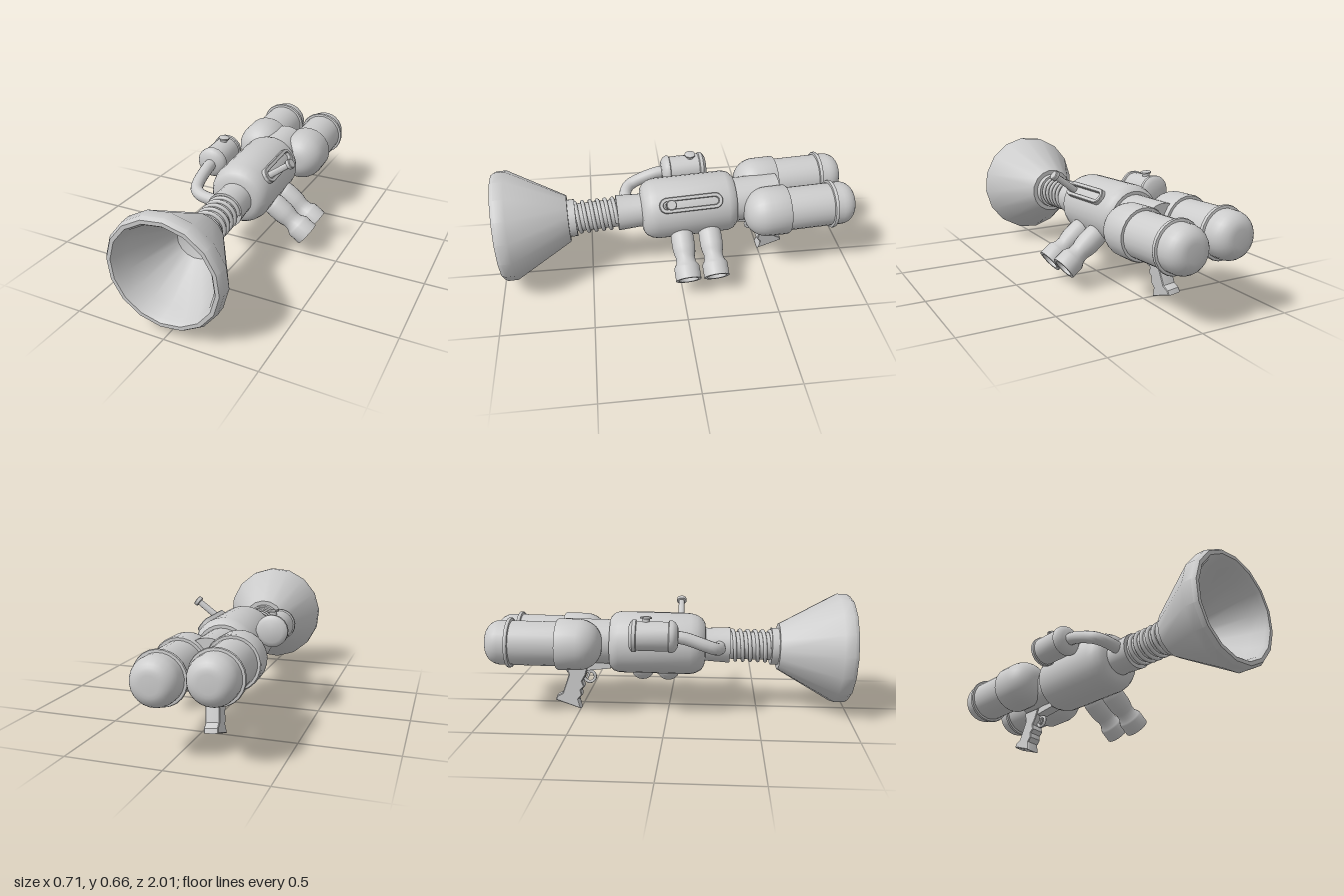
import * as THREE from 'three';
import { toCreasedNormals } from 'three/addons/utils/BufferGeometryUtils.js';

const material = new THREE.MeshStandardMaterial({ color: 0xcccccc });
const V = (x, y, z) => new THREE.Vector3(x, y, z);

function add(parent, name, geometry) {
  const mesh = new THREE.Mesh(geometry, material);
  mesh.name = name;
  parent.add(mesh);
  return mesh;
}

// Turned part: [radius, position] pairs in rising order, about the y axis
function turned(profile, sides) {
  const points = profile.map(([r, p]) => new THREE.Vector2(r, p));
  return toCreasedNormals(new THREE.LatheGeometry(points, sides), 0.65);
}

// Turned part lying along z
const turnedZ = (profile, sides = 24) => turned(profile, sides).rotateX(Math.PI / 2);

// Quarter-ellipse end cap running from the axis out to radius r
function dome(r, flat, start, end, steps = 7) {
  const out = [[0, start]];
  for (let i = 0; i <= steps; i++) {
    const a = (i / steps) * Math.PI / 2;
    out.push([flat + (r - flat) * Math.sin(a), end + (start - end) * Math.cos(a)]);
  }
  return out;
}

// Group whose y axis points radially out of the body at the given angle
function radial(parent, name, degrees, z) {
  const g = new THREE.Group();
  g.name = name;
  g.rotation.z = THREE.MathUtils.degToRad(degrees - 90);
  g.position.z = z;
  parent.add(g);
  return g;
}

// Rounded-end slot outline, long in y
function stadium(path, halfLength, r) {
  path.absarc(0, halfLength - r, r, 0, Math.PI, false);
  path.absarc(0, r - halfLength, r, Math.PI, Math.PI * 2, false);
  path.closePath();
  return path;
}

export function createModel() {
  const model = new THREE.Group();
  model.name = 'launcher';
  const gun = new THREE.Group();
  gun.name = 'launcherAssembly';
  gun.position.set(-0.035, 0.378, 0);
  gun.rotation.set(0.025, 0.045, -0.1);
  model.add(gun);

  // Flared bell with a thick rim and hollow inside
  add(gun, 'bell', turnedZ([
    [0, 0.61], [0.13, 0.61], [0.305, 0.92], [0.305, 0.975], [0.292, 0.995],
    [0.272, 0.995], [0.257, 0.975], [0.24, 0.91], [0.1, 0.67], [0.05, 0.655], [0, 0.65],
  ], 16));
  add(gun, 'bellCollar', turnedZ([[0, 0.57], [0.104, 0.57], [0.104, 0.62], [0, 0.62]]));

  // Spring around the slim core
  add(gun, 'springCore', turnedZ([[0.078, 0.32], [0.078, 0.59]]));
  const coil = [];
  for (let i = 0; i <= 110; i++) {
    const a = (i / 110) * Math.PI * 2 * 5.5;
    coil.push(V(Math.cos(a) * 0.083, Math.sin(a) * 0.083, 0.345 + (i / 110) * 0.23));
  }
  add(gun, 'spring', new THREE.TubeGeometry(new THREE.CatmullRomCurve3(coil), 200, 0.011, 8));

  // Neck, main body and rear connector
  add(gun, 'neck', turnedZ([[0.095, 0.18], [0.093, 0.22], [0.1, 0.34], [0, 0.34]]));
  add(gun, 'body', turnedZ([
    [0, -0.325], [0.142, -0.325], [0.162, -0.305], [0.172, -0.275], [0.172, 0.12],
    [0.163, 0.155], [0.145, 0.185], [0.12, 0.2], [0.09, 0.205],
  ], 28));
  add(gun, 'rearConnector', turnedZ([[0, -0.58], [0.125, -0.58], [0.125, -0.3]]));

  // Twin tanks in rounded sockets
  for (const side of [-1, 1]) {
    const tank = new THREE.Group();
    tank.name = side > 0 ? 'leftTank' : 'rightTank';
    tank.position.x = side * 0.135;
    gun.add(tank);
    const socket = dome(0.14, 0.02, -0.365, -0.49, 9).reverse();
    add(tank, 'socket', turnedZ([[0.12, -0.605], [0.136, -0.605], [0.141, -0.595], ...socket]));
    add(tank, 'tankShell', turnedZ([...dome(0.122, 0.045, -0.992, -0.91), [0.122, -0.59]]));
    add(tank, 'tankBand', turnedZ([
      [0.12, -0.873], [0.135, -0.871], [0.138, -0.862], [0.135, -0.853], [0.12, -0.851],
    ]));
  }

  // Pistol grip with finger grooves, outline in (backward, up)
  const outline = [
    [0.455, 0.26], [0.47, 0.2], [0.49, 0.165], [0.477, 0.135], [0.497, 0.115], [0.49, 0.085],
    [0.51, 0.06], [0.495, 0.01], [0.628, 0.055], [0.622, 0.072], [0.59, 0.09], [0.555, 0.2], [0.575, 0.26],
  ].map(([b, u]) => new THREE.Vector2(b, u - 0.392));
  const grip = new THREE.ExtrudeGeometry(new THREE.Shape(outline), {
    depth: 0.05, bevelThickness: 0.012, bevelSize: 0.006, bevelSegments: 2,
  });
  add(gun, 'grip', toCreasedNormals(grip.translate(0, 0, -0.025).rotateY(Math.PI / 2), 0.6));
  const plate = add(gun, 'gripMount', new THREE.BoxGeometry(0.06, 0.04, 0.25));
  plate.position.set(0, -0.145, -0.45);
  plate.rotation.x = -0.12;
  const guard = add(gun, 'triggerGuard', new THREE.TorusGeometry(0.031, 0.009, 8, 20));
  guard.position.set(0, -0.205, -0.445);
  guard.rotation.y = Math.PI / 2;
  const trigger = add(gun, 'trigger', new THREE.BoxGeometry(0.014, 0.045, 0.012));
  trigger.position.set(0, -0.195, -0.452);
  trigger.rotation.x = 0.35;

  // Two flared side pipes
  for (const z of [-0.005, -0.163]) {
    const pipe = radial(gun, 'sidePipe', -31.5, z);
    add(pipe, 'pipe', turned([
      ...dome(0.064, 0.03, 0.14, 0.19, 4), [0.064, 0.25], [0.06, 0.28], [0.053, 0.305], [0.055, 0.335],
      [0.067, 0.355], [0.071, 0.365], [0.071, 0.434], [0.054, 0.434], [0.046, 0.405], [0, 0.4],
    ], 20));
  }

  // Slotted rail and bolt handle
  const rail = radial(gun, 'boltRail', 43, -0.06);
  const slot = stadium(new THREE.Shape(), 0.172, 0.04);
  slot.holes.push(stadium(new THREE.Path(), 0.156, 0.024));
  const frame = new THREE.ExtrudeGeometry(slot, {
    depth: 0.04, bevelThickness: 0.004, bevelSize: 0.003, bevelSegments: 1, curveSegments: 8,
  });
  add(rail, 'slotFrame', toCreasedNormals(frame.rotateX(-Math.PI / 2), 0.6)).position.y = 0.149;
  const bolt = radial(gun, 'boltHandle', 42.5, 0.065);
  add(bolt, 'handleStem', turned([
    [0.019, 0.15], [0.017, 0.315], [0.028, 0.318], [0.028, 0.336], [0.024, 0.34], [0, 0.34],
  ], 14));

  // Side canister with end bands, cap and feed pipe
  const canister = new THREE.Group();
  canister.name = 'canister';
  canister.position.set(-0.238, 0.074, 0);
  gun.add(canister);
  add(canister, 'canisterShell', turnedZ([
    [0, -0.208], [0.06, -0.208], [0.078, -0.198], [0.086, -0.19], [0.086, -0.172], [0.079, -0.168],
    [0.079, 0], [0.086, 0.004], [0.086, 0.022], [0.077, 0.036], [0.055, 0.05], [0, 0.055],
  ], 20));
  const cap = add(canister, 'canisterCap', turned([
    [0.02, 0.06], [0.02, 0.092], [0.031, 0.093], [0.031, 0.1], [0.026, 0.103], [0, 0.103],
  ], 16));
  cap.position.z = -0.12;
  const feed = new THREE.CatmullRomCurve3([
    V(-0.236, 0.074, 0.03), V(-0.236, 0.066, 0.09), V(-0.231, 0.03, 0.2),
    V(-0.216, 0.014, 0.245), V(-0.175, 0.005, 0.272), V(-0.06, 0, 0.28),
  ]);
  add(gun, 'feedPipe', new THREE.TubeGeometry(feed, 40, 0.034, 14));

  return model;
}
